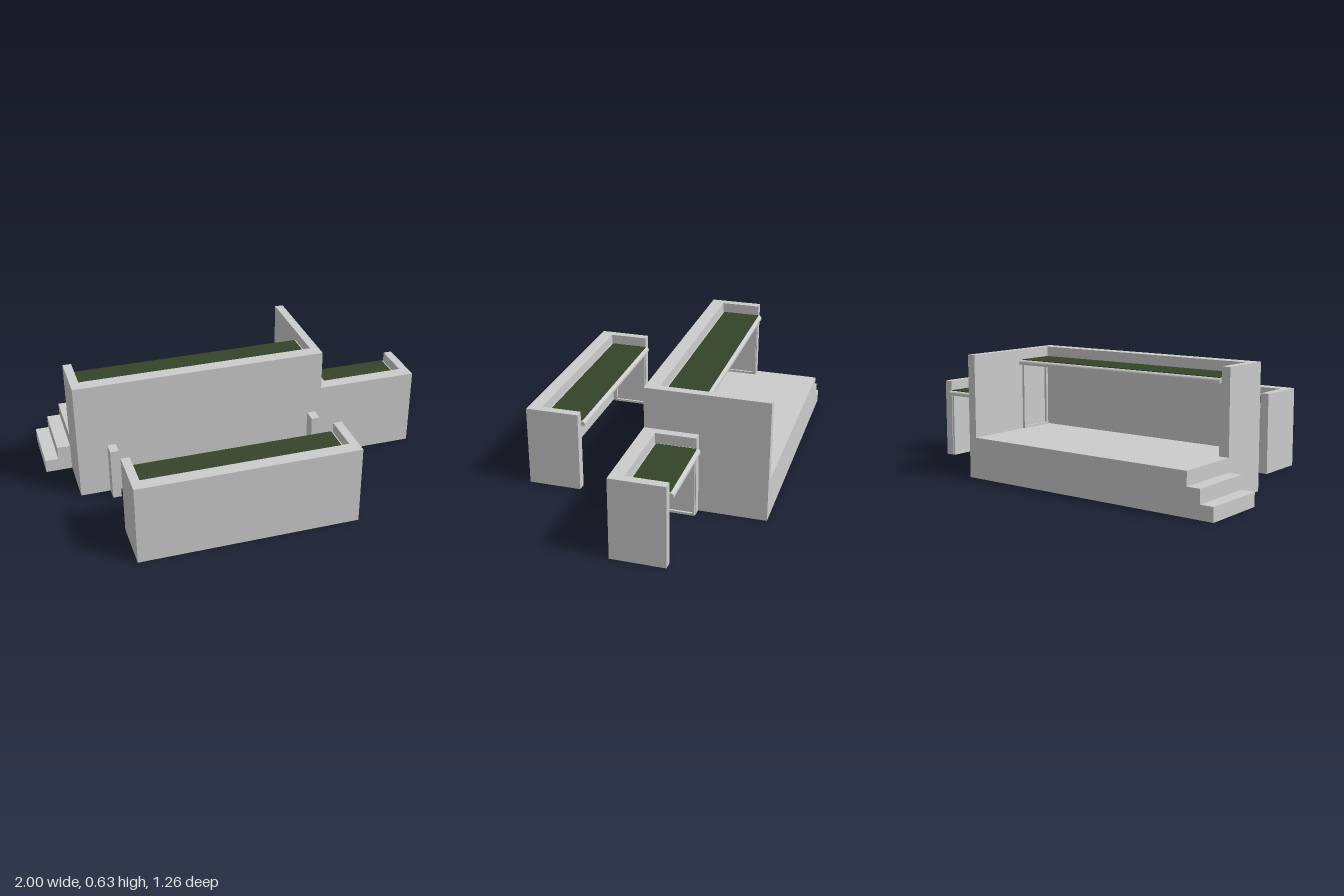
import * as THREE from 'three';

const grey = new THREE.MeshStandardMaterial({ color: 0xcccccc, flatShading: true });
const green = new THREE.MeshStandardMaterial({ color: 0x36432a, flatShading: true });

// Box given by its two extreme corners
function block(parent, name, [x0, x1], [y0, y1], [z0, z1], material = grey) {
  const mesh = new THREE.Mesh(new THREE.BoxGeometry(x1 - x0, y1 - y0, z1 - z0), material);
  mesh.position.set((x0 + x1) / 2, (y0 + y1) / 2, (z0 + z1) / 2);
  mesh.name = name;
  parent.add(mesh);
  return mesh;
}

// Rounded edge strip along the open side of a roof: flat below, rounded above
function roofLip(parent, x0, x1, y, z) {
  const shape = new THREE.Shape();
  shape.moveTo(0, 0);
  shape.lineTo(0.02, 0);
  shape.lineTo(0.02, 0.008);
  shape.quadraticCurveTo(0.019, 0.024, 0, 0.024);
  shape.closePath();
  const geometry = new THREE.ExtrudeGeometry(shape, { depth: x1 - x0, bevelEnabled: false, curveSegments: 6 });
  const mesh = new THREE.Mesh(geometry, grey);
  mesh.rotation.y = Math.PI / 2; // profile points to -z, length runs along +x
  mesh.position.set(x0, y, z);
  mesh.name = 'roofLip';
  parent.add(mesh);
}

const WALL = 0.045, FRONT = 0.07, DEPTH = 0.277, HEIGHT = 0.42;

// Three-sided shelter, open at the back, with a sunken green roof
function shelter(name, x0, x1, zFront, floorY, leftDepth = DEPTH) {
  const group = new THREE.Group();
  group.name = name;
  const top = floorY + HEIGHT;
  const zBack = zFront - DEPTH, zIn = zFront - FRONT;
  const a = x0 + WALL, b = x1 - WALL;

  // Walls
  block(group, 'frontWall', [x0, x1], [0, top], [zIn, zFront]);
  block(group, 'rightWall', [x0, a], [0, top], [zBack, zIn]);
  block(group, 'leftWall', [b, x1], [0, top], [zFront - leftDepth, zIn]);

  // Roof slab with inset green surface and rounded back edge
  const roofY = floorY + 0.343;
  block(group, 'roofSlab', [a, b], [roofY, roofY + 0.024], [zBack, zIn]);
  block(group, 'roofGreen', [a + 0.008, b - 0.008], [roofY + 0.023, roofY + 0.027],
    [zBack - 0.004, zIn - 0.008], green);
  roofLip(group, a, b, roofY, zBack);

  // Trim frame on the inside of each side wall
  const t = 0.012;
  for (const x of [a, b - t]) {
    const xs = [x, x + t];
    block(group, 'backTrim', xs, [floorY, roofY], [zBack + 0.004, zBack + 0.004 + t]);
    block(group, 'frontTrim', xs, [floorY, roofY], [zIn - 0.015 - t, zIn - 0.015]);
    for (const y of [floorY, roofY - t])
      block(group, 'railTrim', xs, [y, y + t], [zBack + 0.016, zIn - 0.027]);
  }
  return group;
}

export function createModel() {
  const model = new THREE.Group();
  model.name = 'shelters';

  // Raised main shelter with a long left wall, side shelter, free-standing front shelter
  model.add(shelter('mainShelter', -0.86, 0.465, -0.005, 0.21, 0.625));
  model.add(shelter('sideShelter', 0.465, 1.0, -0.005, 0));
  model.add(shelter('frontShelter', -0.705, 0.435, 0.63, 0));

  // Platform and steps
  block(model, 'platform', [-0.815, 0.42], [0, 0.21], [-0.282, -0.075]);
  block(model, 'platformBack', [-0.86, 0.42], [0, 0.21], [-0.63, -0.282]);
  block(model, 'upperStep', [-0.93, -0.86], [0, 0.14], [-0.63, -0.282]);
  block(model, 'lowerStep', [-1.0, -0.93], [0, 0.07], [-0.63, -0.282]);

  // Short posts on the front wall
  for (const x of [-0.705, 0.39])
    block(model, 'post', [x, x + 0.045], [0, 0.28], [-0.005, 0.065]);

  return model;
}
